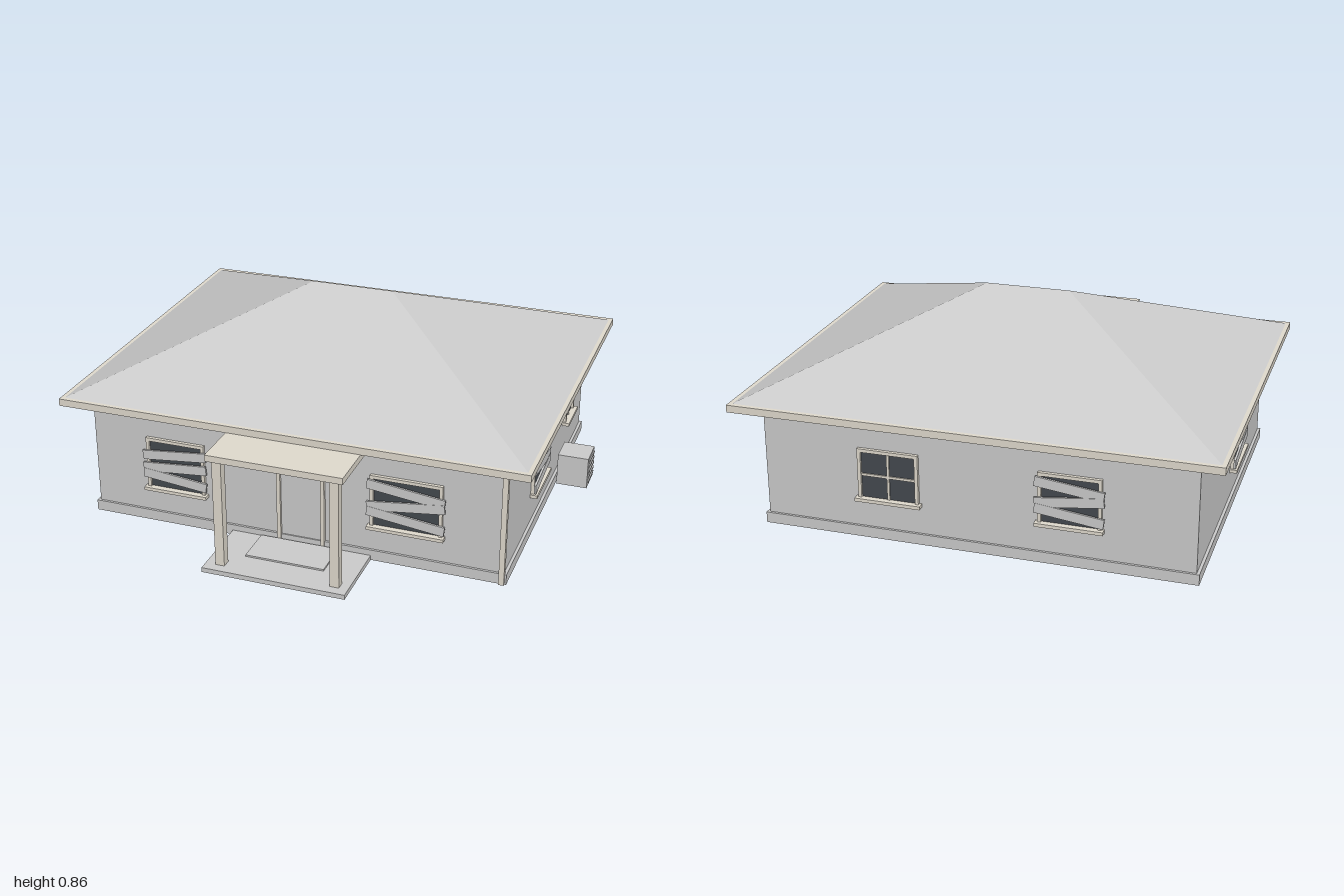
import * as THREE from 'three';

const grey = new THREE.MeshStandardMaterial({ color: 0xcccccc });
const trim = new THREE.MeshStandardMaterial({ color: 0xe0dace });
const glass = new THREE.MeshStandardMaterial({ color: 0x44494f });

// Box given by its minimum and maximum corners
function block(parent, name, [x0, y0, z0], [x1, y1, z1], material = grey) {
  const mesh = new THREE.Mesh(new THREE.BoxGeometry(x1 - x0, y1 - y0, z1 - z0), material);
  mesh.position.set((x0 + x1) / 2, (y0 + y1) / 2, (z0 + z1) / 2);
  mesh.name = name;
  parent.add(mesh);
  return mesh;
}

// Window in its own plane: centred on x = 0, base at y = 0, facing +z
function makeWindow(w, h, boards) {
  const g = new THREE.Group();
  const t = 0.014, a = w / 2;
  g.name = boards ? 'boardedWindow' : 'crossWindow';
  block(g, 'pane', [-a + t, t, -0.01], [a - t, h - t, 0.004], glass);
  for (const s of [-1, 1]) {
    const c = s * (a - t / 2);
    block(g, 'frameSide', [c - t / 2, t, -0.01], [c + t / 2, h, 0.014], trim);
  }
  block(g, 'frameTop', [-a + t, h - t, -0.01], [a - t, h, 0.014], trim);
  block(g, 'sill', [-a - 0.01, 0, -0.01], [a + 0.01, t, 0.03], trim);
  if (boards) {
    // Planks nailed across: [height fraction, tilt in degrees]
    boards.forEach(([f, tilt], i) => {
      const z = 0.013 + i * 0.001;
      const plank = block(g, 'plank', [-a - 0.012, f * h - 0.02, z], [a + 0.012, f * h + 0.02, z + 0.009]);
      plank.rotation.z = THREE.MathUtils.degToRad(tilt);
    });
  } else {
    block(g, 'mullion', [-0.005, t, 0], [0.005, h - t, 0.009], trim);
    block(g, 'glazingBar', [-a + t, h / 2 - 0.005, 0], [a - t, h / 2 + 0.005, 0.009], trim);
  }
  return g;
}

// Hip roof: a box whose top is drawn in to the ridge
function makeRoof() {
  const geo = new THREE.BoxGeometry(1.92, 0.325, 1.56);
  const p = geo.attributes.position;
  for (let i = 0; i < p.count; i++) {
    if (p.getY(i) > 0) {
      p.setX(i, Math.sign(p.getX(i)) * 0.175);
      p.setZ(i, 0);
    }
  }
  geo.computeVertexNormals();
  const roof = new THREE.Mesh(geo, grey);
  roof.position.set(-0.025, 0.535 + 0.1625, -0.112);
  roof.name = 'hipRoof';
  return roof;
}

export function createModel() {
  const house = new THREE.Group();
  house.name = 'house';

  // Body, plinth and roof
  block(house, 'walls', [-0.895, 0.04, -0.807], [0.845, 0.507, 0.593]);
  block(house, 'plinth', [-0.907, 0, -0.817], [0.857, 0.045, 0.603]);
  block(house, 'fascia', [-1, 0.506, -0.91], [0.95, 0.536, 0.685], trim);
  block(house, 'soffit', [-0.985, 0.504, -0.895], [0.935, 0.51, 0.67]);
  house.add(makeRoof());

  // Porch
  const porch = new THREE.Group();
  porch.name = 'porch';
  house.add(porch);
  block(porch, 'porchSlab', [-0.289, 0, 0.59], [0.305, 0.02, 0.91]);
  block(porch, 'doormat', [-0.16, 0.02, 0.61], [0.17, 0.027, 0.775]);
  block(porch, 'porchRoof', [-0.268, 0.48, 0.59], [0.29, 0.507, 0.885], trim);
  for (const x of [-0.228, 0.249]) {
    block(porch, 'porchPost', [x - 0.019, 0.02, 0.832], [x + 0.019, 0.48, 0.87], trim);
  }

  // Front door
  const door = new THREE.Group();
  door.name = 'frontDoor';
  house.add(door);
  block(door, 'doorPanel', [-0.076, 0.02, 0.585], [0.096, 0.39, 0.598]);
  block(door, 'doorHead', [-0.076, 0.375, 0.59], [0.096, 0.388, 0.602], trim);
  for (const x of [-0.083, 0.103]) {
    block(door, 'doorJamb', [x - 0.008, 0.02, 0.585], [x + 0.008, 0.394, 0.609], trim);
  }
  block(door, 'doorLintel', [-0.091, 0.394, 0.585], [0.111, 0.408, 0.609], trim);

  // Windows: [x, y, z, turn in quarter turns, width, height, planks]
  const up = [[0.78, 7], [0.52, -7], [0.26, 6]];
  const down = [[0.77, -7], [0.52, 7], [0.27, -7]];
  const windows = [
    [-0.533, 0.147, 0.593, 0, 0.255, 0.235, [[0.74, 6], [0.5, 5], [0.28, -6]]],
    [0.448, 0.147, 0.593, 0, 0.295, 0.235, down],
    [0.845, 0.166, 0.063, 1, 0.24, 0.2, [[0.8, -4], [0.54, -8], [0.27, 6]]],
    [0.845, 0.215, -0.492, 1, 0.165, 0.165, null],
    [0.325, 0.16, -0.807, 2, 0.25, 0.22, null],
    [-0.405, 0.16, -0.807, 2, 0.25, 0.22, down],
    [-0.895, 0.16, -0.01, 3, 0.26, 0.21, up],
  ];
  for (const [x, y, z, turn, w, h, boards] of windows) {
    const win = makeWindow(w, h, boards);
    win.position.set(x, y, z);
    win.rotation.y = turn * Math.PI / 2;
    house.add(win);
  }

  // Downspout at the front corner and outdoor unit at the side
  block(house, 'downspout', [0.828, 0, 0.59], [0.85, 0.506, 0.612], trim);
  const unit = new THREE.Group();
  unit.name = 'outdoorUnit';
  house.add(unit);
  block(unit, 'unitCase', [0.863, 0.005, -0.388], [0.995, 0.145, -0.257]);
  for (let i = 0; i < 5; i++) {
    const y = 0.025 + i * 0.024;
    block(unit, 'unitLouvre', [0.99, y, -0.375], [1, y + 0.01, -0.27]);
  }
  return house;
}
